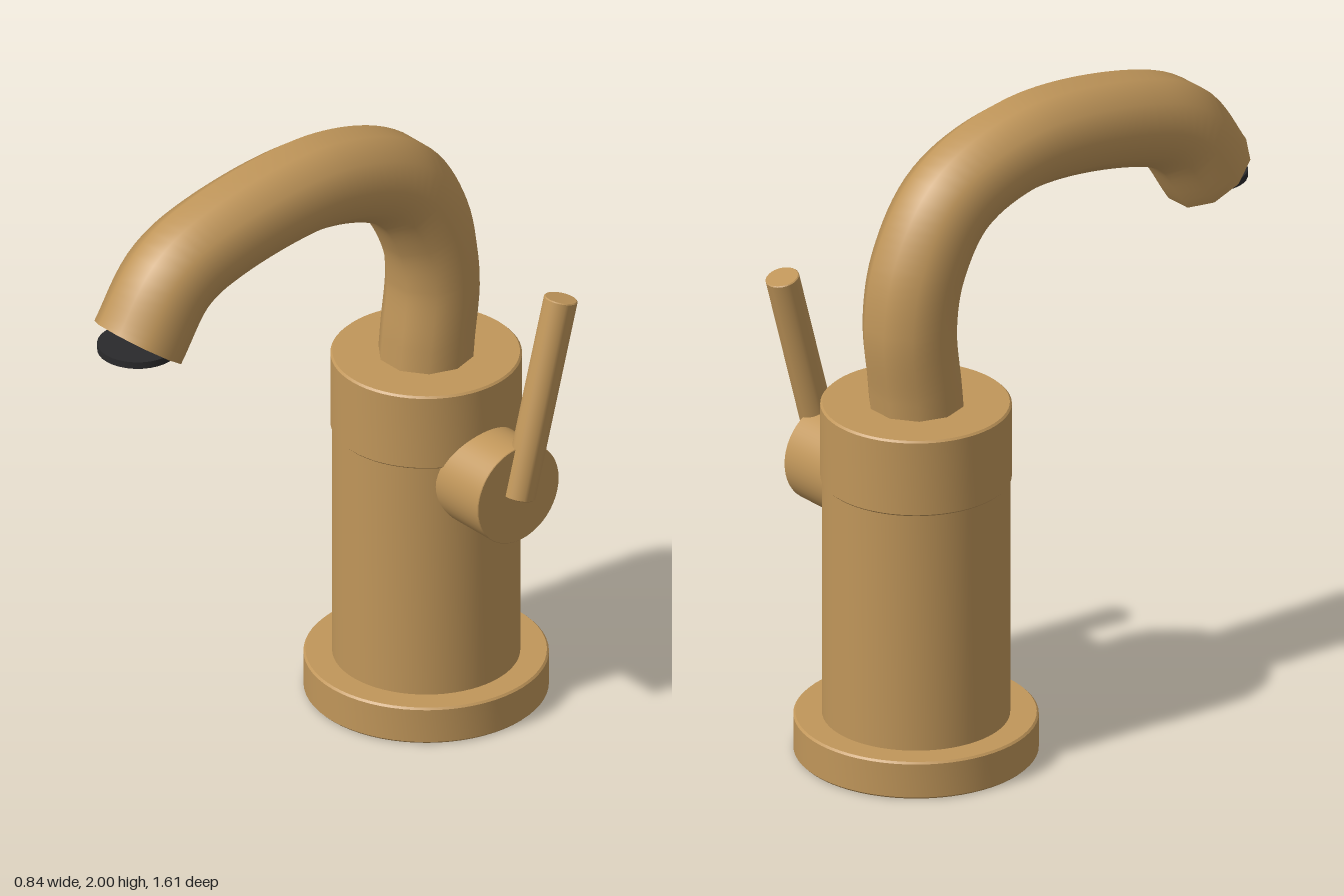
import * as THREE from 'three';
import { toCreasedNormals } from 'three/addons/utils/BufferGeometryUtils.js';

const CX = -0.06, CZ = -0.437; // column axis

export function createModel() {
  const brass = new THREE.MeshStandardMaterial({ color: 0xc0965a });
  brass.name = 'brushed brass';
  const black = new THREE.MeshStandardMaterial({ color: 0x2a2a2c });
  black.name = 'black rubber';
  const model = new THREE.Group();
  model.name = 'faucet';

  const add = (name, geometry, material, x = 0, y = 0, z = 0) => {
    const mesh = new THREE.Mesh(geometry, material);
    mesh.name = name;
    mesh.position.set(x, y, z);
    model.add(mesh);
    return mesh;
  };

  // Solid round with slightly softened rims, centred on its own axis
  const round = (r, h, b = 0.006, sides = 64) => {
    const k = h / 2;
    const profile = [[0, -k], [r - b, -k], [r, b - k], [r, k - b], [r - b, k], [0, k]]
      .map(([px, py]) => new THREE.Vector2(px, py));
    return toCreasedNormals(new THREE.LatheGeometry(profile, sides), 0.5);
  };

  // Stacked column
  for (const [name, r, y0, y1] of [
    ['base', 0.365, 0, 0.12],
    ['body', 0.28, 0.11, 0.9],
    ['collar', 0.285, 0.888, 1.135],
  ]) add(name, round(r, y1 - y0), brass, CX, (y0 + y1) / 2, CZ);

  // Ten-sided curved spout
  const path = new THREE.CatmullRomCurve3([
    [1.05, -0.428], [1.2, -0.442], [1.4, -0.461], [1.58, -0.427], [1.765, -0.305],
    [1.862, -0.03], [1.818, 0.39], [1.743, 0.56], [1.567, 0.685],
  ].map(([y, z]) => new THREE.Vector3(CX, y, z)));
  const sides = 10, radius = 0.145;
  add('spout', new THREE.TubeGeometry(path, 64, radius, sides), brass);

  // Flat spout end and the outlet disc under it
  const end = path.getPointAt(1);
  const cap = add('spoutEnd', new THREE.CircleGeometry(radius, sides), brass, end.x, end.y, end.z);
  cap.lookAt(end.clone().add(path.getTangentAt(1)));
  add('outlet', new THREE.CylinderGeometry(0.121, 0.121, 0.022, 32), black, CX, 1.555, 0.685);

  // Side valve and lever
  const valve = add('valve', round(0.158, 0.365, 0.002, 48), brass, 0.1825, 0.826, CZ);
  valve.rotation.z = -Math.PI / 2;
  const low = new THREE.Vector3(0.368, 0.822, -0.435);
  const high = new THREE.Vector3(0.368, 1.438, -0.6);
  const span = high.clone().sub(low);
  const mid = low.clone().add(high).multiplyScalar(0.5);
  const lever = add('lever', round(0.051, span.length(), 0.003, 32), brass, mid.x, mid.y, mid.z);
  lever.quaternion.setFromUnitVectors(new THREE.Vector3(0, 1, 0), span.normalize());

  return model;
}
